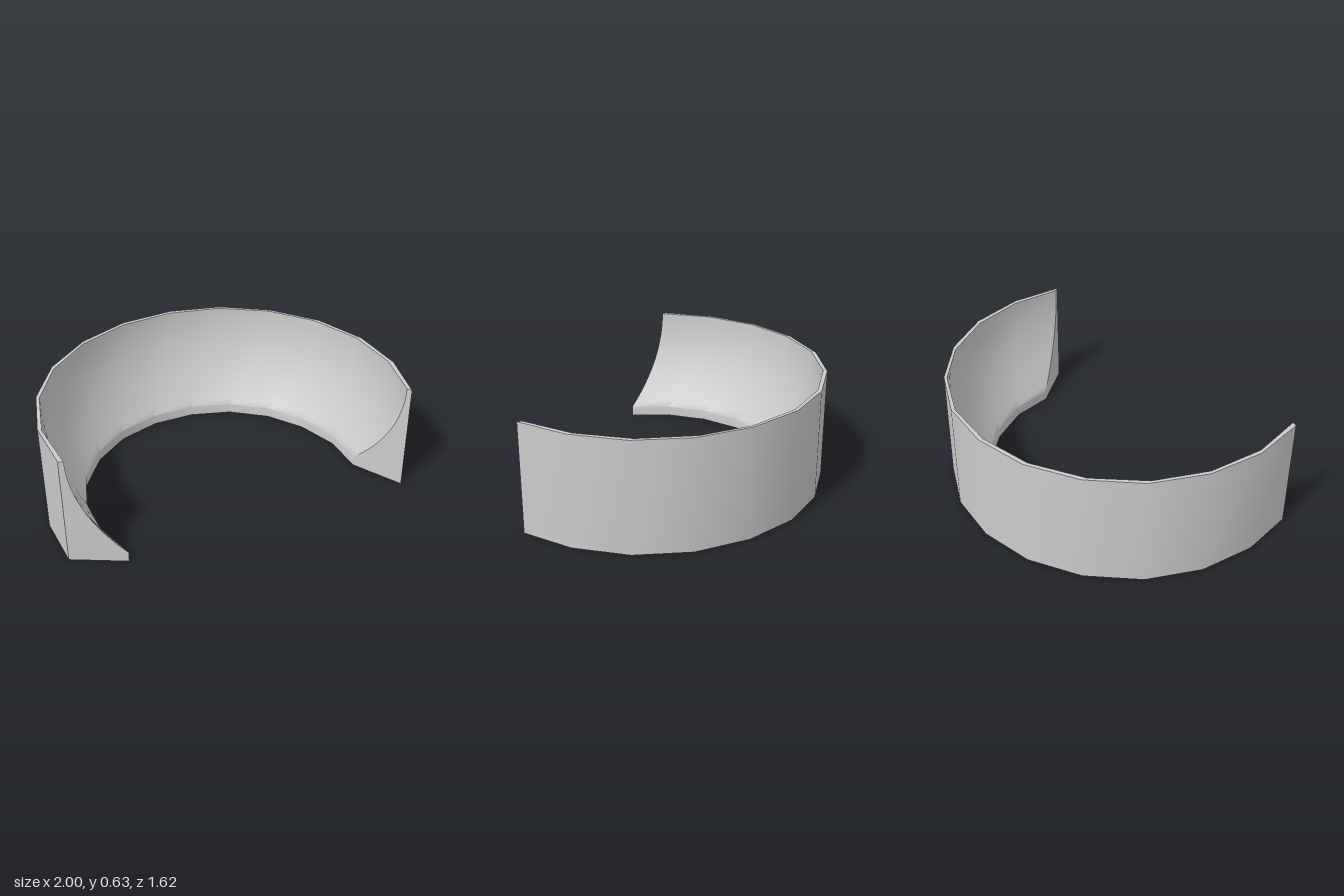
import * as THREE from 'three';
import { toCreasedNormals } from 'three/addons/utils/BufferGeometryUtils.js';

const HEIGHT = 0.63, LIP = 0.06, R_TOP = 0.98, STEPS = 14;

// Plan outlines [x, z], from the left end round the back to the other end
const outer = [[1, 0.1], [0.93, -0.19], [0.77, -0.46], [0.53, -0.665], [0.24, -0.785], [-0.07, -0.815], [-0.37, -0.745],
  [-0.635, -0.59], [-0.84, -0.36], [-0.97, -0.07], [-1, 0.24], [-0.935, 0.54], [-0.785, 0.81]];
const innerTop = [[0.975, 0.085], [0.9, -0.2], [0.74, -0.46], [0.5, -0.66], [0.23, -0.77], [-0.08, -0.795], [-0.37, -0.72],
  [-0.63, -0.565], [-0.835, -0.33], [-0.955, -0.05], [-0.98, 0.25], [-0.91, 0.55], [-0.755, 0.81]];
const innerLow = [[0.74, -0.07], [0.63, -0.28], [0.45, -0.45], [0.24, -0.56], [0, -0.6], [-0.24, -0.56], [-0.46, -0.45],
  [-0.635, -0.28], [-0.745, -0.065], [-0.785, 0.18], [-0.745, 0.42], [-0.635, 0.64], [-0.47, 0.81]];

// Closed section at one station: straight outer wall, spherical hollow, upright lip
function section(i) {
  const [ox, oz] = outer[i], [tx, tz] = innerTop[i], [lx, lz] = innerLow[i];
  const points = [[ox, 0, oz], [ox, HEIGHT, oz]];
  const rLow = Math.sqrt(R_TOP ** 2 - (HEIGHT - LIP) ** 2);
  for (let k = 0; k <= STEPS; k++) {
    const y = HEIGHT + (LIP - HEIGHT) * k / STEPS;
    const f = (Math.sqrt(R_TOP ** 2 - (HEIGHT - y) ** 2) - rLow) / (R_TOP - rLow);
    points.push([lx + (tx - lx) * f, y, lz + (tz - lz) * f]);
  }
  points.push([lx, 0, lz]);
  return points;
}

export function createModel() {
  const group = new THREE.Group();
  const sections = outer.map((_, i) => section(i));
  const n = sections[0].length, last = (sections.length - 1) * n;
  const index = [];
  // Skin between neighbouring sections
  for (let i = 0; i < sections.length - 1; i++) {
    for (let j = 0; j < n; j++) {
      const a = i * n + j, d = i * n + (j + 1) % n;
      index.push(a, a + n, d + n, a, d + n, d);
    }
  }
  // End caps fan out from the outer bottom corner
  for (let k = 1; k < n - 1; k++) {
    index.push(0, k, k + 1, last, last + k + 1, last + k);
  }
  const geometry = new THREE.BufferGeometry();
  geometry.setAttribute('position', new THREE.Float32BufferAttribute(sections.flat(2), 3));
  geometry.setIndex(index);
  const wall = new THREE.Mesh(toCreasedNormals(geometry, Math.PI / 6), new THREE.MeshStandardMaterial({ color: 0xcccccc }));
  wall.name = 'curvedWall';
  group.add(wall);
  return group;
}
